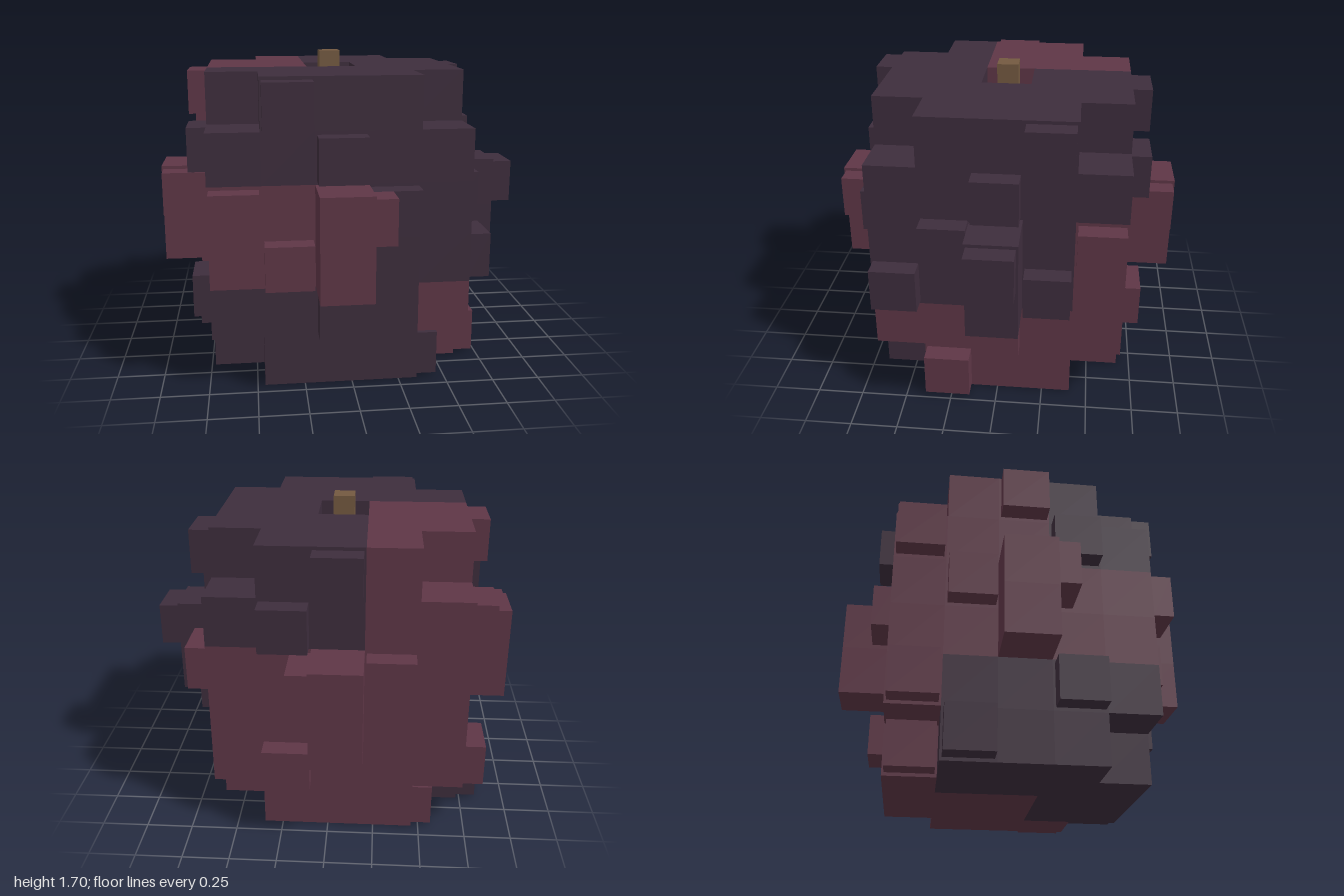
import * as THREE from 'three';
import { mergeGeometries } from 'three/addons/utils/BufferGeometryUtils.js';

const S = 0.27;                       // size of one body block
const CX = -0.055;                    // x of the middle block column
const center = (i, j, k) => new THREE.Vector3(CX + (i - 2) * S, (j + 0.5) * S, (k - 2) * S);

const DIRS = {
  right: new THREE.Vector3(1, 0, 0), left: new THREE.Vector3(-1, 0, 0),
  up: new THREE.Vector3(0, 1, 0), down: new THREE.Vector3(0, -1, 0),
  front: new THREE.Vector3(0, 0, 1), back: new THREE.Vector3(0, 0, -1),
};

// Rounded block fruit: a 5 x 6 x 5 block with the top and bottom corners cut,
// a hole for the stem and a two-block bulge on each side
function solid(i, j, k) {
  if (j < 0 || j > 5) return false;
  const inX = i >= 0 && i <= 4, inZ = k >= 0 && k <= 4;
  if (inX && inZ) {
    const corner = (i === 0 || i === 4) && (k === 0 || k === 4);
    if (corner && (j === 0 || j === 5)) return false;
    return !(i === 2 && j === 5 && k === 2);
  }
  if (j !== 2 && j !== 3) return false;
  return (k === 2 && (i === -1 || i === 5)) || (i === 2 && (k === -1 || k === 5));
}

// Large patches of the lighter, redder skin
function isRed(i, j, k) {
  if (j < 2) return i === 4 || k === 0 || (k <= 2 && i >= 2);
  if (j < 4) return i <= 2 || k === 0;
  return i <= 1 && k <= 2;
}

// Square facing direction n on the side of a block
function blockFace(c, n) {
  const q = new THREE.Quaternion().setFromUnitVectors(DIRS.front, n);
  const g = new THREE.PlaneGeometry(S, S).applyQuaternion(q);
  const p = c.clone().addScaledVector(n, S / 2);
  return g.translate(p.x, p.y, p.z);
}

// Small bumps: side they sit on, then the block [i, j, k]
const NUBS = {
  front: [[1, 5, 4], [2, 4, 4], [0, 3, 4], [3, 3, 4], [1, 2, 4], [2, 1, 4], [-1, 3, 2]],
  back: [[2, 5, 0], [3, 4, 0], [1, 3, 0], [3, 1, 0]],
  right: [[4, 5, 1], [4, 4, 2], [4, 3, 3], [4, 3, 0], [4, 2, 4], [4, 2, 1], [4, 1, 2],
    [4, 0, 3], [3, 0, 4], [5, 3, 2], [2, 3, 5], [2, 3, -1]],
  left: [[0, 5, 2], [0, 4, 3], [0, 4, 0], [0, 3, 1], [0, 1, 3], [0, 1, 0], [0, 0, 1], [1, 0, 0]],
};
const NUB_DEPTH = 0.108;

export function createModel() {
  const material = (name, color) => {
    const m = new THREE.MeshStandardMaterial({ color });
    m.name = name;
    return m;
  };
  const darkSkin = material('darkSkin', 0x3d2d3c);
  const redSkin = material('redSkin', 0x5e3646);
  const green = material('leafGreen', 0x5e7c45);
  const brown = material('stemBrown', 0x735940);

  const model = new THREE.Group();
  model.name = 'blockFruit';
  const add = (parent, name, geometry, mat, x = 0, y = 0, z = 0) => {
    const mesh = new THREE.Mesh(geometry, mat);
    mesh.name = name;
    mesh.position.set(x, y, z);
    parent.add(mesh);
    return mesh;
  };

  // Body skin, outer faces only
  const dark = [], red = [];
  for (let i = -1; i <= 5; i++)
    for (let j = 0; j <= 5; j++)
      for (let k = -1; k <= 5; k++) {
        if (!solid(i, j, k)) continue;
        for (const n of Object.values(DIRS))
          if (!solid(i + n.x, j + n.y, k + n.z))
            (isRed(i, j, k) ? red : dark).push(blockFace(center(i, j, k), n));
      }
  add(model, 'darkBody', mergeGeometries(dark), darkSkin);
  add(model, 'redBody', mergeGeometries(red), redSkin);

  // Bumps, coloured like the block they sit on
  const nubs = new THREE.Group();
  nubs.name = 'bumps';
  model.add(nubs);
  for (const [side, cells] of Object.entries(NUBS)) {
    const n = DIRS[side];
    const box = n.x ? [NUB_DEPTH, 0.235, 0.246] : [0.25, 0.235, NUB_DEPTH];
    for (const [i, j, k] of cells) {
      const p = center(i, j, k).addScaledVector(n, (S + NUB_DEPTH) / 2);
      add(nubs, side + 'Bump', new THREE.BoxGeometry(...box), isRed(i, j, k) ? redSkin : darkSkin, p.x, p.y, p.z);
    }
  }

  // Leaf base in the hole, and the stem
  add(model, 'leafBase', new THREE.BoxGeometry(0.25, 0.108, 0.25), green, CX, 1.404, 0);
  add(model, 'stem', new THREE.BoxGeometry(0.114, 0.26, 0.116), brown, CX, 1.57, 0);
  return model;
}
